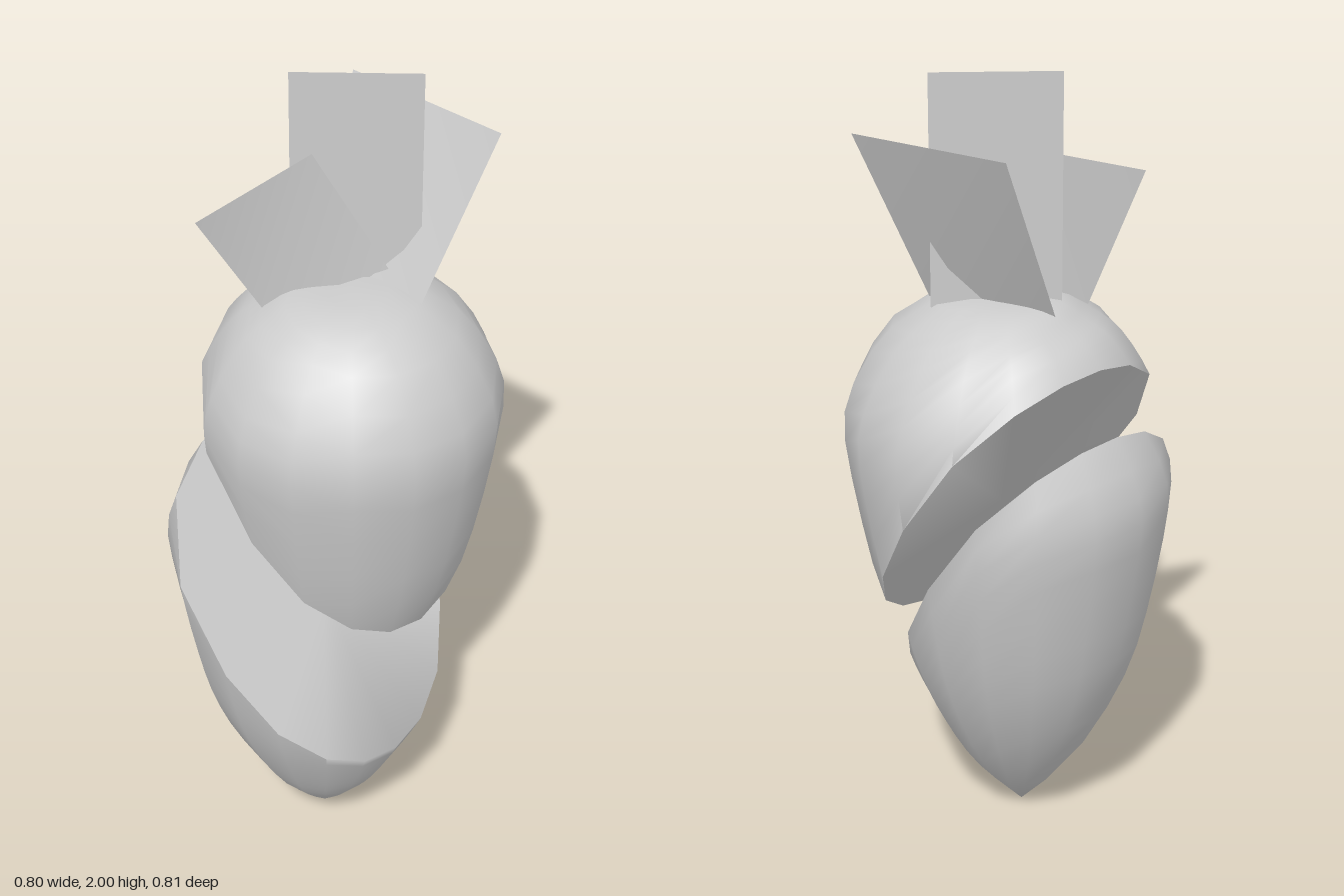
import * as THREE from 'three';
import { toCreasedNormals } from 'three/addons/utils/BufferGeometryUtils.js';

const SIDES = 16;
const ROWS = 12;

// Outline of the whole root, from its tip up to its crown (radius, height)
const profile = new THREE.SplineCurve([
  [0, 0], [0.135, 0.15], [0.237, 0.33], [0.295, 0.48], [0.33, 0.63], [0.36, 0.8],
  [0.37, 0.92], [0.34, 1.02], [0.27, 1.13], [0.2, 1.18], [0.13, 1.215], [0, 1.218],
].map(([r, y]) => new THREE.Vector2(r, y)));

// Slanting cut: height on the axis, slope, and the direction it falls towards
const CUT = { height: 0.694, slope: 1.42, angle: Math.atan2(0.63, 0.77) };

// Where the cut crosses the outline on the side at angle phi
function cutParameter(phi) {
  const fall = CUT.slope * Math.cos(phi - CUT.angle);
  let low = 0, high = 1;
  for (let i = 0; i < 30; i++) {
    const mid = (low + high) / 2;
    const p = profile.getPoint(mid);
    if (p.y < CUT.height - fall * p.x) low = mid; else high = mid;
  }
  return low;
}

// One half of the sliced root, closed by its flat cut
function rootHalf(isUpper) {
  const positions = [], index = [];
  const columns = SIDES + 1;
  const last = ROWS + 1;
  for (let j = 0; j <= last; j++) {
    for (let i = 0; i <= SIDES; i++) {
      const phi = ((i % SIDES) / SIDES) * Math.PI * 2;
      const t = cutParameter(phi);
      const isCutCentre = isUpper ? j === 0 : j === last;
      const s = isUpper ? t + (1 - t) * (j - 1) / ROWS : t * j / ROWS;
      const p = isCutCentre ? new THREE.Vector2(0, CUT.height) : profile.getPoint(s);
      positions.push(p.x * Math.sin(phi), p.y, p.x * Math.cos(phi));
    }
  }
  for (let j = 0; j < last; j++) {
    for (let i = 0; i < SIDES; i++) {
      const a = j * columns + i, b = a + 1, c = a + columns, d = c + 1;
      if (j === 0) index.push(a, d, c);
      else if (j === last - 1) index.push(a, b, c);
      else index.push(a, b, d, a, d, c);
    }
  }
  const geometry = new THREE.BufferGeometry();
  geometry.setAttribute('position', new THREE.Float32BufferAttribute(positions, 3));
  geometry.setIndex(index);
  return toCreasedNormals(geometry, 1.2);
}

// Flat four-cornered leaf
function leafGeometry(corners) {
  const geometry = new THREE.BufferGeometry();
  geometry.setAttribute('position', new THREE.Float32BufferAttribute(corners.flat(), 3));
  geometry.setIndex([0, 1, 2, 0, 2, 3]);
  geometry.computeVertexNormals();
  return geometry;
}

export function createModel() {
  const model = new THREE.Group();
  const skin = new THREE.MeshStandardMaterial({ color: 0xcccccc });
  const leafMaterial = new THREE.MeshStandardMaterial({ color: 0xcccccc, side: THREE.DoubleSide });

  const add = (name, geometry, material) => {
    const mesh = new THREE.Mesh(geometry, material);
    mesh.name = name;
    model.add(mesh);
    return mesh;
  };

  // The two halves, slid apart along the cut
  add('lowerHalf', rootHalf(false), skin).position.set(-0.03, 0, 0.135);
  add('upperHalf', rootHalf(true), skin).position.set(0.035, 0.25, -0.055);

  // Leaves on the crown
  add('uprightLeaf', leafGeometry([
    [-0.1, 1.43, -0.095], [0.2, 1.43, -0.08], [0.2, 2, -0.08], [-0.1, 2, -0.095],
  ]), leafMaterial);
  add('backLeaf', leafGeometry([
    [0.195, 1.44, 0], [-0.08, 1.44, -0.17], [0.05, 1.87, -0.34], [0.37, 1.86, -0.06],
  ]), leafMaterial);
  add('sideLeaf', leafGeometry([
    [-0.165, 1.42, -0.03], [0.125, 1.5, -0.07], [-0.05, 1.81, -0.065], [-0.31, 1.715, 0.065],
  ]), leafMaterial);

  return model;
}
